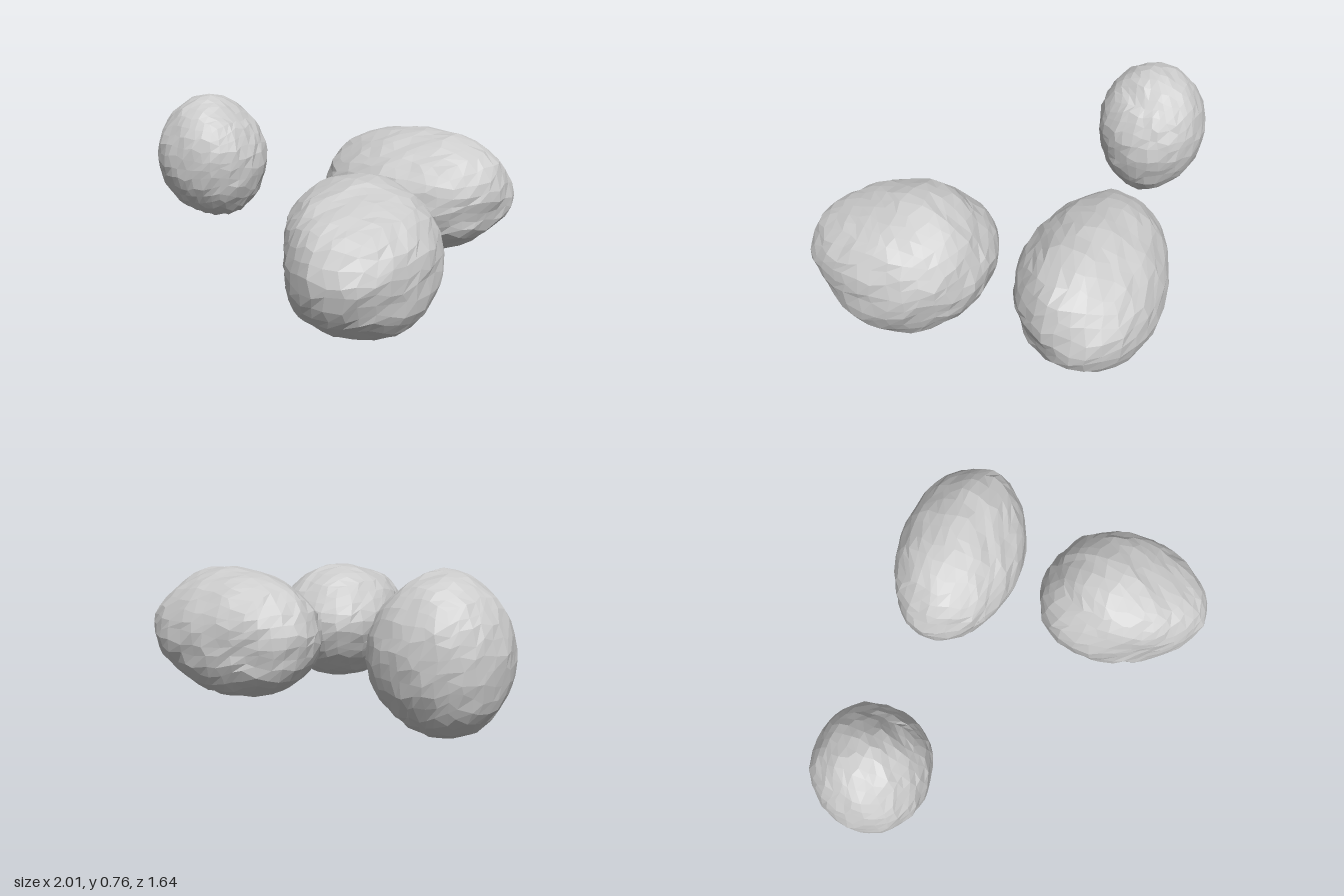
import * as THREE from 'three';
import { mergeVertices } from 'three/addons/utils/BufferGeometryUtils.js';

// Bulges: direction from the centre, then how far the stone swells (+) or is worn away (-)
const boulders = [
  {
    name: 'smallBoulder', centre: [-0.7, 0.408, -0.34], radii: [0.298, 0.345, 0.283],
    bulges: [[-1, -1, 0, 0.08], [1, 1, 0, -0.12], [1, -1, 0, 0.09], [1, 0, -1, 0.07], [-1, 0, 1, 0.06]],
  },
  {
    name: 'longBoulder', centre: [0.495, 0.375, -0.47], radii: [0.47, 0.312, 0.332],
    bulges: [[1, 1, 0, 0.1], [-1, -1, 0, 0.07], [1, 0, -1, 0.14], [-0.6, 0, -0.8, -0.08],
      [0.8, 0, 0.6, -0.06], [0, 1, 1, -0.08], [0, -0.8, 0.6, -0.11], [0, -1, -1, 0.05]],
  },
  {
    name: 'frontBoulder', centre: [0.65, 0.335, 0.385], radii: [0.348, 0.33, 0.412],
    bulges: [[0.7, -0.8, 0, 0.13], [-0.8, 0, -0.6, 0.14], [-0.7, 0, 0.6, -0.18], [0.4, 0, 0.9, 0.09],
      [0, 0.9, 0.3, -0.12], [0.4, 0.8, 0, -0.06], [0, 1, -1, -0.06], [-0.1, 1, -0.4, 0.08]],
  },
];

function seeded(seed) {
  return () => {
    seed = (seed * 16807) % 2147483647;
    return seed / 2147483647;
  };
}

function boulderGeometry({ centre, radii, bulges }, seed) {
  const random = seeded(seed);
  const jitter = (amount) => (random() - 0.5) * amount;
  const swellings = bulges.map(([x, y, z, amount]) => ({ dir: new THREE.Vector3(x, y, z).normalize(), amount }));

  // Cube grid, rounded into a ball of quads
  const box = new THREE.BoxGeometry(2, 2, 2, 9, 9, 9);
  box.deleteAttribute('normal');
  box.deleteAttribute('uv');
  const geo = mergeVertices(box);
  const pos = geo.attributes.position;
  const p = new THREE.Vector3();
  for (let i = 0; i < pos.count; i++) {
    p.fromBufferAttribute(pos, i);
    p.set(...p.toArray().map((k) => Math.tan(k * Math.PI / 4) + jitter(0.09))).normalize();
    // Broad bulges and hollows
    let r = 1;
    for (const { dir, amount } of swellings) r += amount * Math.max(0, p.dot(dir)) ** 6;
    // Chipped surface
    r += jitter(0.03) + 0.015 * Math.sin(9 * p.x + 5 * p.z + seed) * Math.sin(8 * p.y - 4 * p.x);
    pos.setXYZ(i, p.x * r * radii[0], p.y * r * radii[1], p.z * r * radii[2]);
  }
  geo.translate(...centre);
  geo.computeVertexNormals();
  return geo;
}

export function createModel() {
  const group = new THREE.Group();
  group.name = 'boulders';
  const stone = new THREE.MeshStandardMaterial({ color: 0xcccccc, flatShading: true });
  boulders.forEach((spec, i) => {
    const mesh = new THREE.Mesh(boulderGeometry(spec, 101 + i * 57), stone);
    mesh.name = spec.name;
    group.add(mesh);
  });
  return group;
}
